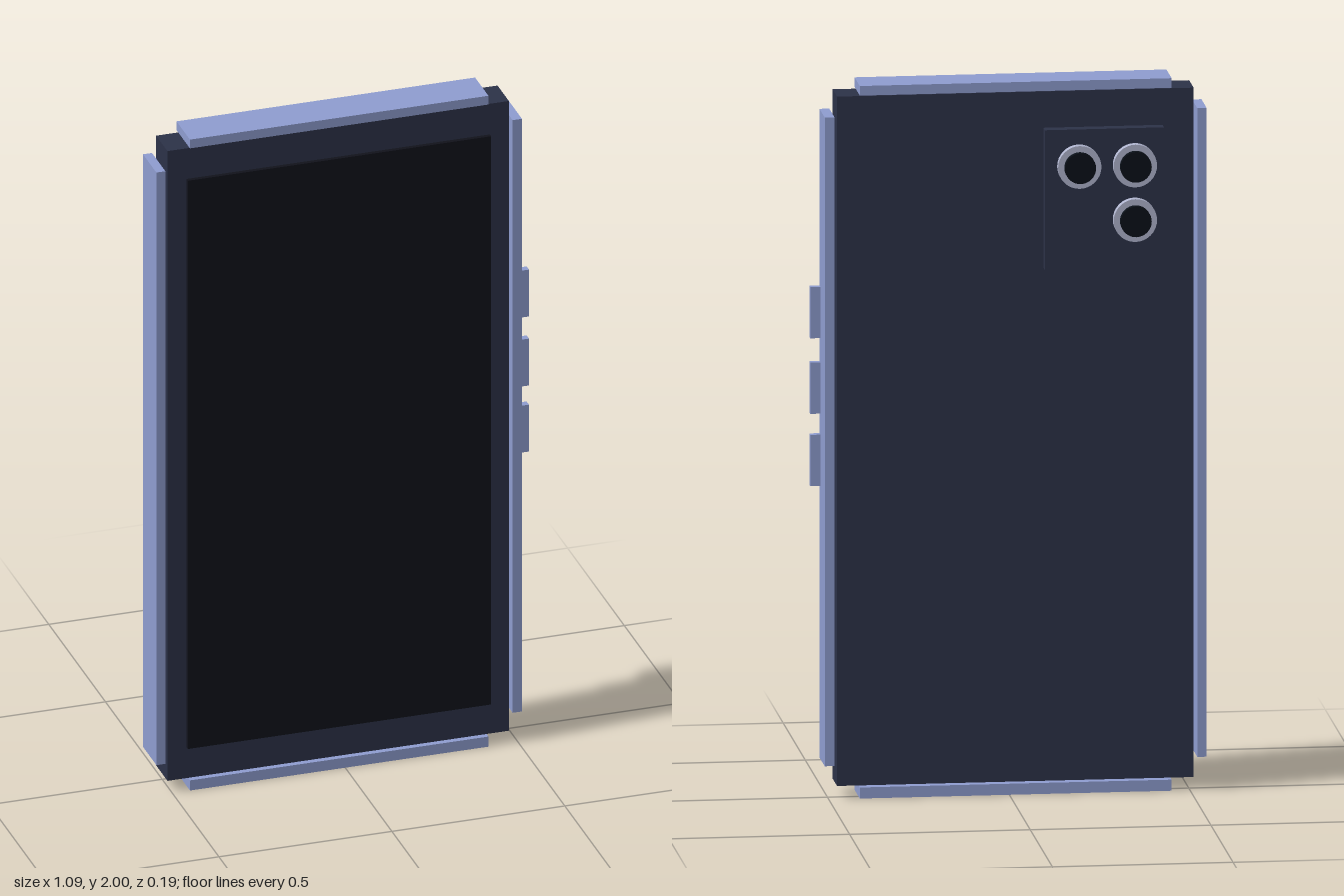
import * as THREE from 'three';

const mat = (color) => new THREE.MeshStandardMaterial({ color });

export function createModel() {
  const phone = new THREE.Group();
  phone.name = 'phone';
  const shell = mat(0x2c3248), metal = mat(0x8f9dd0), glass = mat(0x11121b);
  const ring = mat(0xb0b5cf), lensGlass = mat(0x0a1018);

  // Box given by its min and max on each axis
  const box = (name, material, [x0, x1], [y0, y1], [z0, z1]) => {
    const m = new THREE.Mesh(new THREE.BoxGeometry(x1 - x0, y1 - y0, z1 - z0), material);
    m.position.set((x0 + x1) / 2, (y0 + y1) / 2, (z0 + z1) / 2);
    m.name = name;
    phone.add(m);
  };

  // Body and screen
  box('body', shell, [-0.511, 0.476], [0.035, 1.97], [-0.02, 0.08]);
  box('screen', glass, [-0.456, 0.421], [0.13, 1.876], [0.08, 0.092]);

  // Frame rails, set just off the body edges
  const railZ = [-0.029, 0.089];
  box('topRail', metal, [-0.449, 0.414], [1.973, 2], railZ);
  box('bottomRail', metal, [-0.449, 0.414], [0, 0.031], railZ);
  box('rightRail', metal, [-0.546, -0.52], [0.093, 1.914], railZ);
  box('leftRail', metal, [0.484, 0.511], [0.093, 1.914], railZ);

  // Side buttons
  [1.355, 1.143, 0.94].forEach((y, i) =>
    box(`sideButton${i + 1}`, metal, [0.516, 0.544], [y - 0.072, y + 0.072], [0.029, 0.05]));

  // Camera plate with three lenses on the back
  box('cameraPlate', shell, [-0.425, -0.095], [1.476, 1.868], [-0.054, -0.02]);

  const disc = (name, material, r, z0, z1) => {
    const m = new THREE.Mesh(new THREE.CylinderGeometry(r, r, z1 - z0, 32), material);
    m.rotation.x = Math.PI / 2;
    m.position.z = (z0 + z1) / 2;
    m.name = name;
    return m;
  };
  [[-0.343, 1.766], [-0.189, 1.766], [-0.343, 1.613]].forEach(([x, y], i) => {
    const lens = new THREE.Group();
    lens.name = `cameraLens${i + 1}`;
    lens.position.set(x, y, 0);
    lens.add(disc('lensRing', ring, 0.06, -0.077, -0.054));
    lens.add(disc('lensGlass', lensGlass, 0.043, -0.095, -0.077));
    phone.add(lens);
  });

  return phone;
}
